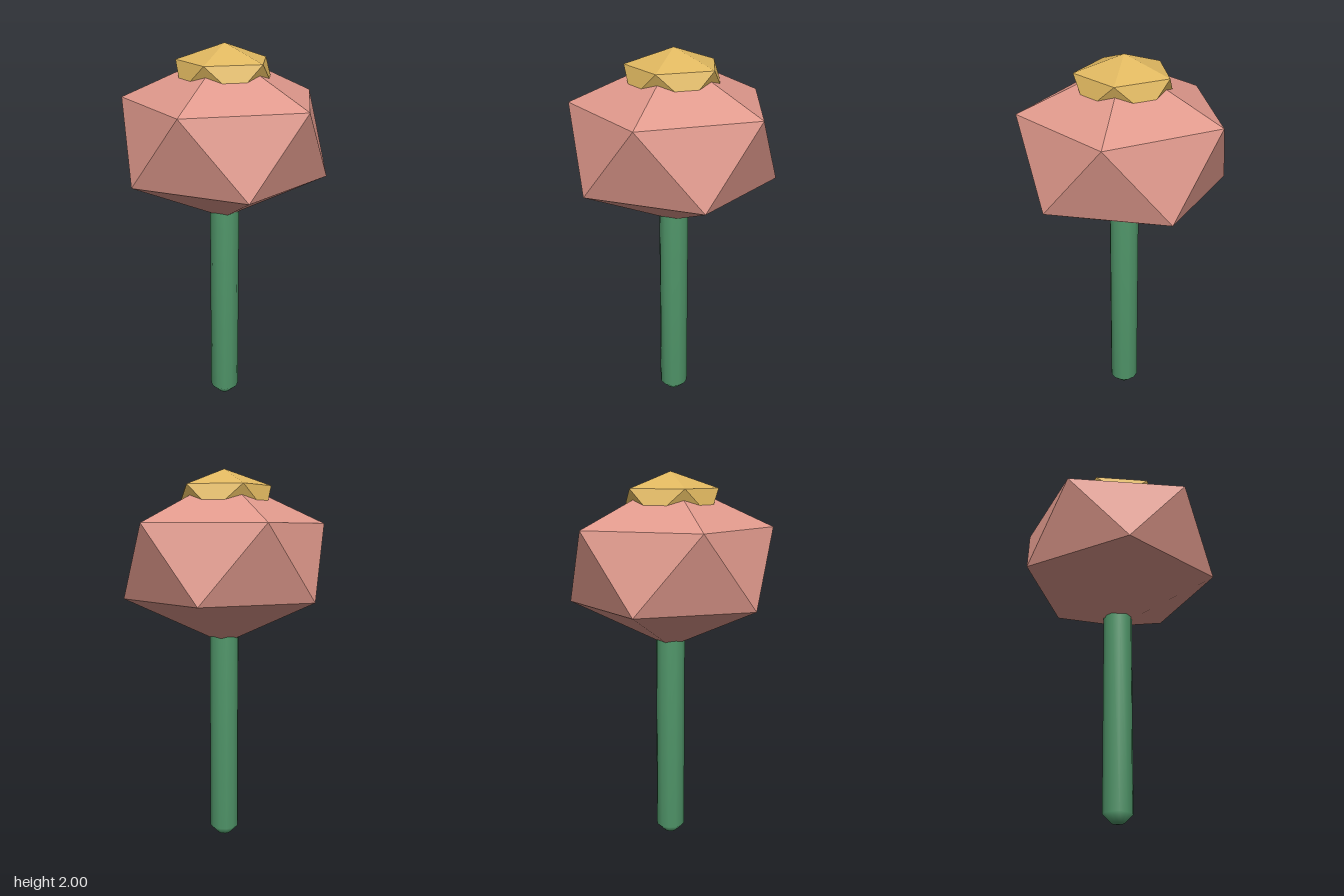
import * as THREE from 'three';

const material = (name, color, flatShading = false) => {
  const m = new THREE.MeshStandardMaterial({ color, flatShading });
  m.name = name;
  return m;
};

// Icosahedron standing on one corner, an upper ring corner pointing to +x, squashed to size
function facetedBall(name, radius, halfHeight, y, mat) {
  const geometry = new THREE.IcosahedronGeometry(1, 0);
  geometry.rotateZ(-Math.atan(2 / (1 + Math.sqrt(5))));
  geometry.scale(radius, halfHeight, radius);
  geometry.computeVertexNormals();
  const mesh = new THREE.Mesh(geometry, mat);
  mesh.name = name;
  mesh.position.y = y;
  return mesh;
}

export function createModel() {
  const group = new THREE.Group();
  group.name = 'flower';

  // Stem with a rounded foot; its top is buried in the blossom
  const profile = [[0, 0], [0.033, 0.006], [0.078, 0.05], [0.078, 1.2], [0, 1.25]];
  const stem = new THREE.Mesh(
    new THREE.LatheGeometry(profile.map(([x, y]) => new THREE.Vector2(x, y)), 12),
    material('stem green', 0x4f9468)
  );
  stem.name = 'stem';
  group.add(stem);

  // Blossom and the smaller centre sunk into its top
  group.add(facetedBall('blossom', 0.598, 0.442, 1.522, material('petal pink', 0xe0998c, true)));
  group.add(facetedBall('flowerCentre', 0.278, 0.154, 1.846, material('centre yellow', 0xe0b860, true)));

  return group;
}
